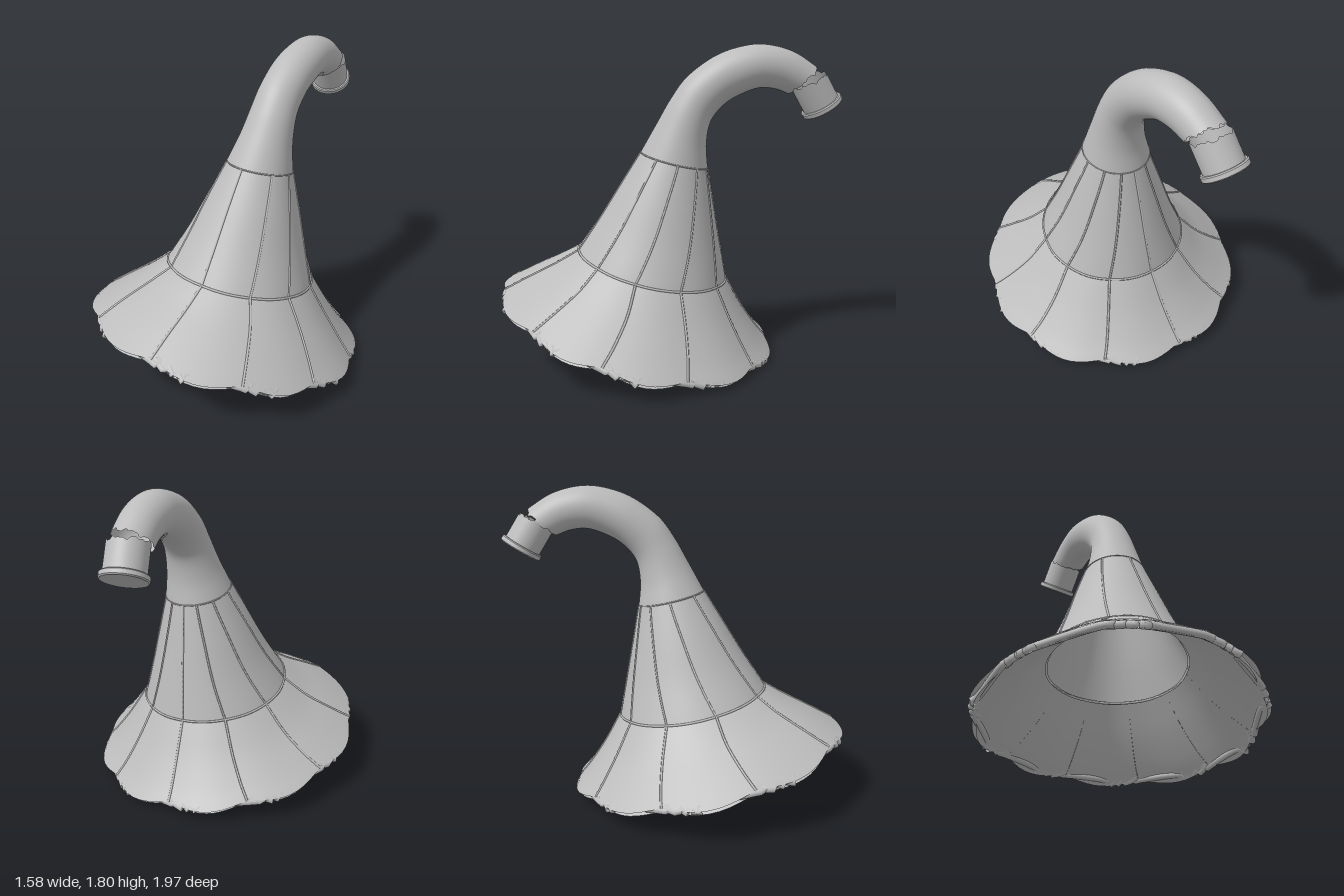
import * as THREE from 'three';
import { mergeGeometries, mergeVertices } from 'three/addons/utils/BufferGeometryUtils.js';

const DEG = Math.PI / 180;
const WALL = 0.036;

// Rings of the horn: front z, y, back z, y, centre x, half width, sideways tilt, sag, scallop depth, petal droop
const MID = [0.525, 0.64, -0.335, 0.46, 0.033, 0.423, 0.025, 0.02, 0.006, 0];
const TOP = [0.16, 1.2, -0.22, 1.11, 0.08, 0.187, 0.01, 0, 0, 0];
const FLARE = [
  [0.985, 0.42, -0.612, 0.072, -0.005, 0.787, 0.065, 0.045, 0.04, 0.025],
  [0.83, 0.493, -0.535, 0.15, 0.005, 0.68, 0.055, 0.04, 0.028, 0.015],
  [0.66, 0.57, -0.435, 0.285, 0.02, 0.55, 0.04, 0.035, 0.016, 0.005],
  MID,
];
const BODY = [
  MID,
  [0.40, 0.82, -0.295, 0.67, 0.05, 0.335, 0.02, 0.01, 0, 0],
  [0.28, 1.01, -0.255, 0.90, 0.065, 0.258, 0.015, 0, 0, 0],
  TOP,
];
const NECK = [
  TOP,
  [0.07, 1.36, -0.21, 1.23, 0.092, 0.153],
  [-0.01, 1.50, -0.222, 1.34, 0.1, 0.133],
  [-0.10, 1.62, -0.255, 1.41, 0.1, 0.125],
  [-0.25, 1.73, -0.325, 1.48, 0.095, 0.124],
  [-0.40, 1.785, -0.42, 1.53, 0.09, 0.122],
  [-0.54, 1.797, -0.51, 1.557, 0.08, 0.12],
  [-0.70, 1.757, -0.60, 1.55, 0.067, 0.114],
  [-0.85, 1.665, -0.68, 1.522, 0.05, 0.11],
];

// Angles of the seams, from the front towards the left: on the bell, and at the top of the body
const SEAMS = [7, 44, 76, 109, 145, 180, 214, 250, 287, 329, 367];
const TOP_SEAMS = [3, 56, 93, 128, 156, 180, 204, 232, 268, 312, 363];

// Smooth blend between the rings of a band, v counted in rings
function ringAt(rows, v) {
  const last = rows.length - 1;
  const i = Math.max(0, Math.min(last - 1, Math.floor(v)));
  const t = v - i;
  return Array.from({ length: 10 }, (_, k) => {
    const p = (j) => rows[j][k] ?? 0;
    const a = p(i), b = p(i + 1);
    const ma = i > 0 ? (b - p(i - 1)) / 2 : b - a;
    const mb = i + 1 < last ? (p(i + 2) - a) / 2 : b - a;
    const t2 = t * t, t3 = t2 * t;
    return (2 * t3 - 3 * t2 + 1) * a + (t3 - 2 * t2 + t) * ma + (3 * t2 - 2 * t3) * b + (t3 - t2) * mb;
  });
}

// Point on a band; bulge is 0 at a seam and 1 in the middle of a petal
function pointAt(rows, v, angle, bulge = 0) {
  const [fz, fy, bz, by, cx, rx, tilt, sag, scallop, droop] = ringAt(rows, v);
  const c = Math.cos(angle), s = Math.sin(angle);
  const k = 1 - scallop * (1 - bulge);
  return new THREE.Vector3(
    cx + rx * s * k,
    (fy + by) / 2 + ((fy - by) / 2) * c - tilt * s - sag * s * s - droop * bulge,
    (fz + bz) / 2 + ((fz - bz) / 2) * c * k
  );
}

// Point on panel p of the bell or body, u across and v up, both 0 to 1
function panelPoint(rows, p, u, v) {
  const seam = (i) => SEAMS[i] + (rows === BODY ? v : 0) * (TOP_SEAMS[i] - SEAMS[i]);
  const angle = THREE.MathUtils.lerp(seam(p), seam(p + 1), u) * DEG;
  const bulge = Math.max(0, Math.sin(Math.PI * u)) ** 1.3;
  return pointAt(rows, v * (rows.length - 1), angle, bulge);
}

// Grid surface from a rule f(u, v), both 0 to 1
function surface(f, nu, nv) {
  const pos = [], index = [];
  for (let j = 0; j <= nv; j++)
    for (let i = 0; i <= nu; i++) pos.push(...f(i / nu, j / nv).toArray());
  for (let j = 0; j < nv; j++)
    for (let i = 0; i < nu; i++) {
      const a = j * (nu + 1) + i, d = a + nu + 1;
      index.push(a, a + 1, d + 1, a, d + 1, d);
    }
  let g = new THREE.BufferGeometry();
  g.setAttribute('position', new THREE.Float32BufferAttribute(pos, 3));
  g.setIndex(index);
  g = mergeVertices(g, 1e-5);
  g.computeVertexNormals();
  return g;
}

// Copy of a surface moved inwards along its normals
function inset(geometry, depth) {
  const g = geometry.clone();
  const { position, normal } = g.attributes;
  for (let i = 0; i < position.count; i++)
    position.setXYZ(i, position.getX(i) - depth * normal.getX(i),
      position.getY(i) - depth * normal.getY(i), position.getZ(i) - depth * normal.getZ(i));
  return g;
}

// Ragged edge, about -1 to 1
const ragged = (a) => (Math.sin(7 * a + 1) + 0.7 * Math.sin(13 * a) + 0.5 * Math.sin(23 * a + 2)) / 2.2;

export function createModel() {
  const model = new THREE.Group();
  const metal = new THREE.MeshStandardMaterial({ color: 0xbcbcbc, side: THREE.DoubleSide });
  metal.name = 'grey metal';
  const add = (name, geometry, parent = model) => {
    const mesh = new THREE.Mesh(geometry, metal);
    mesh.name = name;
    parent.add(mesh);
  };
  const bead = (points, radius, closed, sides = 6) =>
    new THREE.TubeGeometry(new THREE.CatmullRomCurve3(points, closed),
      points.length * 2, radius, sides, closed);

  // Ten panels in the flared bell and the tapering body, each with an inner wall
  const panels = (rows) => SEAMS.slice(1).map((_, p) =>
    surface((u, v) => panelPoint(rows, p, u, v), 10, 15));
  const bell = panels(FLARE), body = panels(BODY);
  const innerWall = (list) => mergeGeometries(list.map((g) => inset(g, WALL)));
  add('flaredBell', mergeGeometries(bell));
  add('bellInside', innerWall(bell));
  add('taperedBody', mergeGeometries(body));
  add('bodyInside', innerWall(body));

  // Rounded lip joining the two walls at the rim
  const lip = bell.flatMap((g) => {
    const middle = inset(g, WALL / 2).attributes.position;
    return Array.from({ length: 10 }, (_, i) => new THREE.Vector3().fromBufferAttribute(middle, i));
  });
  add('roundedLip', bead(lip, WALL / 2 + 0.002, true, 12));

  // Raised beads along the seams and around the joins
  const along = (rows, p) => Array.from({ length: 11 }, (_, i) => panelPoint(rows, p, 0, i / 10));
  const around = (rows) => SEAMS.slice(1).flatMap((_, p) =>
    Array.from({ length: 10 }, (_, i) => panelPoint(rows, p, i / 10, 1)));
  add('panelSeams', mergeGeometries(SEAMS.slice(1).flatMap((_, p) =>
    [bead(along(FLARE, p), 0.007, false), bead(along(BODY, p), 0.006, false)])));
  add('bellJoin', bead(around(FLARE), 0.007, true));
  add('neckJoin', bead(around(BODY), 0.004, true));

  // Curved neck, broken off raggedly at its end
  add('curvedNeck', surface((u, v) => {
    const a = u * Math.PI * 2;
    const end = NECK.length - 1 - 0.06 + 0.09 * ragged(a);
    return pointAt(NECK, v * end, a);
  }, 96, 56));

  // Broken socket with its flange and closed end
  const socket = new THREE.Group();
  socket.name = 'brokenSocket';
  socket.position.set(0.022, 1.44, -0.889);
  socket.quaternion.setFromUnitVectors(new THREE.Vector3(0, 1, 0),
    new THREE.Vector3(0.15, 0.85, 0.52).normalize());
  model.add(socket);
  add('socketTube', surface((u, v) => {
    const a = u * Math.PI * 2;
    const height = 0.18 + 0.012 * Math.cos(a) + 0.012 * ragged(a + 0.6);
    return new THREE.Vector3(0.107 * Math.sin(a), 0.01 + v * height, 0.107 * Math.cos(a));
  }, 96, 4), socket);
  const rim = [[0, 0], [0.117, 0], [0.117, 0], [0.123, 0.006], [0.123, 0.006],
    [0.123, 0.028], [0.123, 0.028], [0.117, 0.034], [0.117, 0.034], [0.105, 0.034]];
  add('socketFlange', new THREE.LatheGeometry(rim.map(([x, y]) => new THREE.Vector2(x, y)), 48), socket);

  return model;
}
